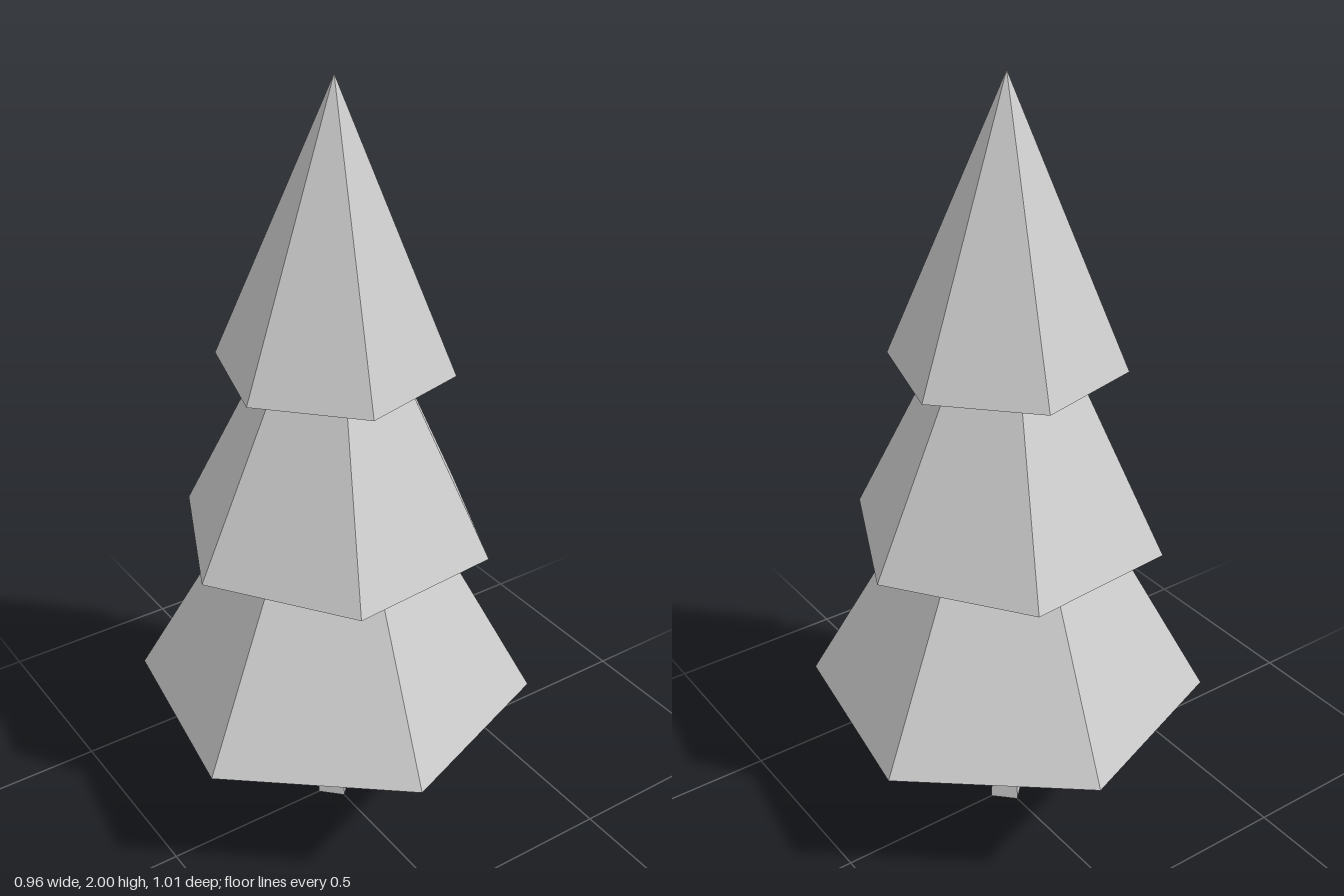
import * as THREE from 'three';

export function createModel() {
  const model = new THREE.Group();
  const paleGrey = new THREE.MeshStandardMaterial({
    color: 0xcccccc, flatShading: true, side: THREE.DoubleSide,
  });
  paleGrey.name = 'paleGrey';

  // Adds a tapered prism standing on height y, turned about the vertical axis
  function addTaper(name, rTop, rBottom, y, height, sides, turn, open) {
    const geometry = new THREE.CylinderGeometry(rTop, rBottom, height, sides, 1, open);
    geometry.translate(0, height / 2, 0);
    const mesh = new THREE.Mesh(geometry, paleGrey);
    mesh.name = name;
    mesh.position.y = y;
    mesh.rotation.y = turn;
    model.add(mesh);
  }

  // Square trunk, corner to the front
  addTaper('trunk', 0.039, 0.051, 0, 0.42, 4, 0, false);

  // Six-sided foliage tiers; the upper two are hollow underneath
  addTaper('lowerFoliage', 0, 0.511, 0.394, 0.916, 6, -0.163, false);
  addTaper('middleFoliage', 0, 0.402, 0.853, 0.811, 6, -0.433, true);
  addTaper('upperFoliage', 0, 0.291, 1.309, 0.691, 6, -0.281, true);

  return model;
}
